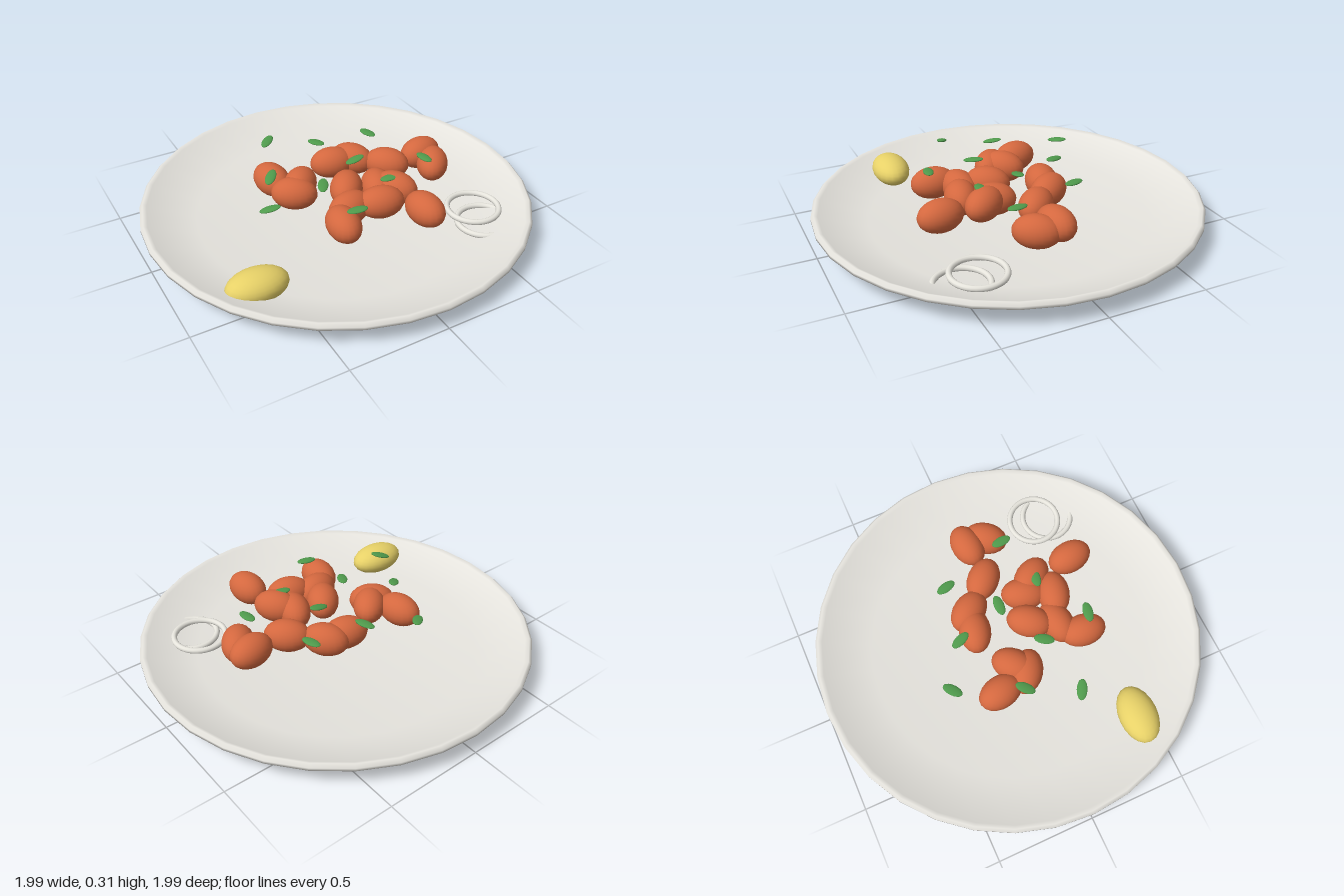
import * as THREE from 'three';

const mat = (name, color) => {
  const m = new THREE.MeshStandardMaterial({ color });
  m.name = name;
  return m;
};

export function createModel() {
  const model = new THREE.Group();
  model.name = 'plateOfFood';
  const ceramic = mat('ceramic', 0xe6e4de);
  const orange = mat('orangeBrown', 0xd4683f);
  const yellow = mat('lemonYellow', 0xe8d268);
  const green = mat('leafGreen', 0x4f9a4c);
  const white = mat('onionWhite', 0xeeece4);

  const add = (name, geometry, material, x, y, z) => {
    const mesh = new THREE.Mesh(geometry, material);
    mesh.name = name;
    mesh.position.set(x, y, z);
    model.add(mesh);
    return mesh;
  };

  // Thin plate with a flat base and a sloping rim
  const profile = [
    [0, 0], [0.72, 0], [0.995, 0.1], [0.995, 0.115], [0.98, 0.13],
    [0.96, 0.12], [0.72, 0.03], [0, 0.03],
  ].map(([r, y]) => new THREE.Vector2(r, y));
  add('plate', new THREE.LatheGeometry(profile, 32), ceramic, 0, 0, 0);

  // Egg-shaped pieces: x, y, z, heading in degrees
  const ball = new THREE.SphereGeometry(1, 20, 14);
  const pieces = [
    [-0.28, 0.2, -0.168, 100], [-0.18, 0.205, -0.05, 45], [-0.235, 0.195, -0.005, -35],
    [0.065, 0.205, -0.155, -15], [0.175, 0.205, -0.14, -55], [0.306, 0.21, -0.003, -45],
    [0.515, 0.215, -0.002, 8], [0.523, 0.2, 0.103, 55], [-0.005, 0.22, 0.115, 55],
    [-0.06, 0.2, 0.245, 10], [0.15, 0.205, 0.155, 70], [0.21, 0.22, 0.225, -55],
    [0.085, 0.215, 0.295, -15], [-0.155, 0.2, 0.348, 85], [0.233, 0.22, 0.456, 96],
  ];
  for (const [x, y, z, heading] of pieces) {
    const piece = add('roastedPiece', ball, orange, x, y, z);
    piece.scale.set(0.117, 0.082, 0.082);
    piece.rotation.y = THREE.MathUtils.degToRad(heading);
  }

  // Lemon sunk into the slope of the plate
  const lemon = add('lemon', ball, yellow, -0.643, 0.088, 0.425);
  lemon.scale.set(0.153, 0.077, 0.098);
  lemon.rotation.y = -0.04;

  // Herb leaves: x, z, heading in degrees, tilt along the length
  const leaves = [
    [-0.2, -0.385, 42, 0.15], [0.02, -0.25, -68, 0.1], [0.31, -0.205, -76, 0],
    [-0.335, -0.06, 48, 0.25], [0.11, 0, 0, 0.2], [-0.145, 0.13, 60, 0.1],
    [-0.455, 0.185, -27, 0.28], [0.175, 0.23, -5, 0.05], [0.43, 0.155, -84, 0],
    [-0.105, 0.39, -10, 0.05],
  ];
  for (const [x, z, heading, tilt] of leaves) {
    const leaf = add('herbLeaf', ball, green, x, 0.29, z);
    leaf.scale.set(0.052, 0.009, 0.026);
    leaf.rotation.set(0, THREE.MathUtils.degToRad(heading), tilt);
  }

  // Two overlapping onion rings, the lower one cutting through the rim
  const ring = new THREE.TorusGeometry(0.131, 0.015, 10, 40);
  for (const [x, y, z] of [[0.567, 0.088, 0.411], [0.572, 0.055, 0.492]]) {
    add('onionRing', ring, white, x, y, z).rotation.x = -Math.PI / 2;
  }

  return model;
}
